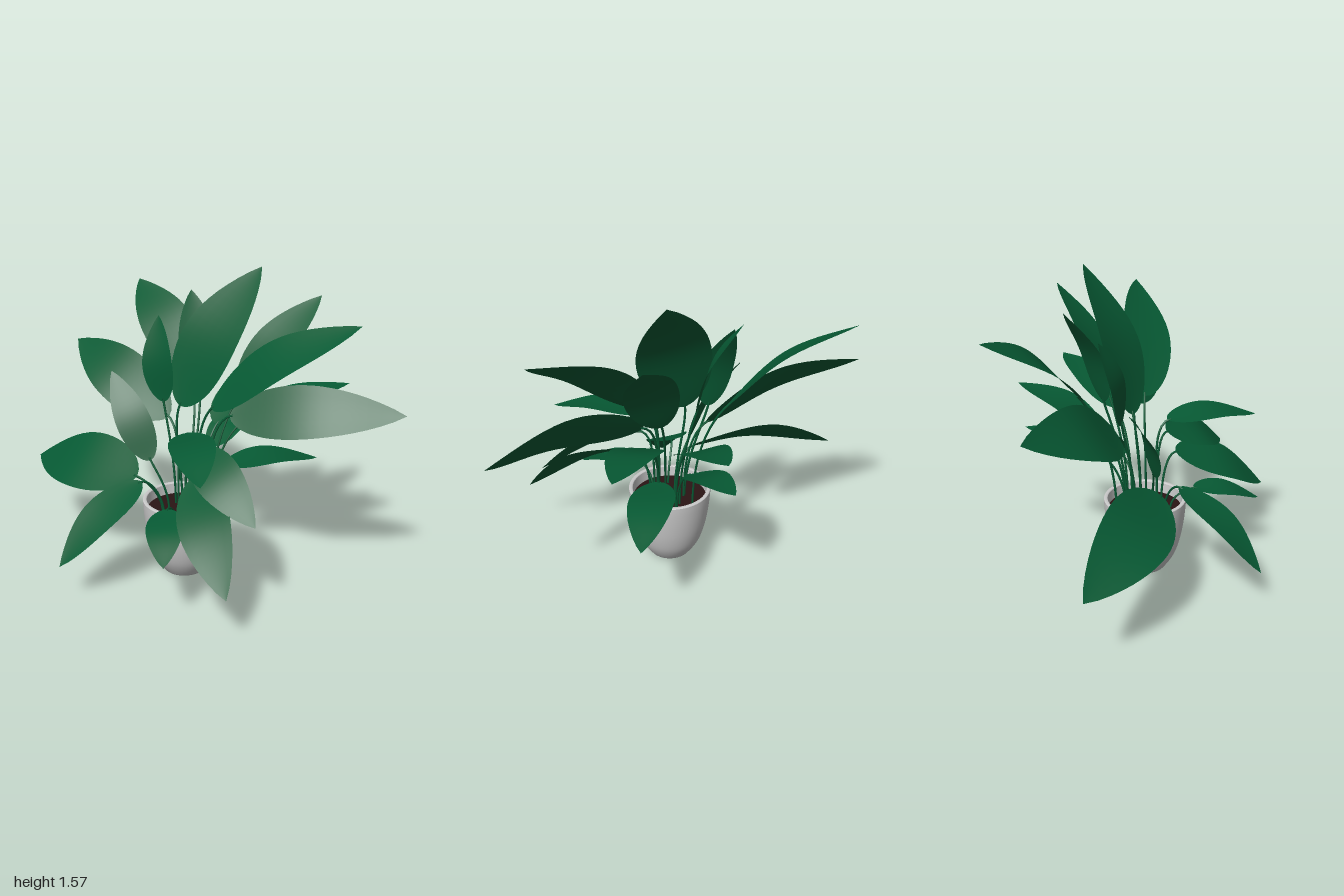
import * as THREE from 'three';

const leafMat = new THREE.MeshStandardMaterial({ color: 0x075a34, side: THREE.DoubleSide });
const stemMat = new THREE.MeshStandardMaterial({ color: 0x075a34 });
const soilMat = new THREE.MeshStandardMaterial({ color: 0x2a1515 });
const potMat = new THREE.MeshStandardMaterial({ color: 0xcccccc });
const V = (a) => new THREE.Vector3(...a);

// Common facings; most leaves look up and forward, towards the light
const LIGHT = [0, 0.75, 0.6];
const FRONT = [0, 0.5, 0.87];
const UP = [0, 1, 0.12];

// Each leaf runs from base to tip; some have their own facing or width
const LEAVES = [
  // right-hand side, high
  { base: [0.2, 0.86, -0.12], tip: [1, 0.97, -0.43], face: FRONT, width: 0.27 },
  { base: [0.15, 0.91, -0.04], tip: [0.78, 1.37, -0.35], face: [-0.45, 0.5, 0.75] },
  // tall centre leaves
  { base: [-0.05, 0.88, -0.02], tip: [0.17, 1.565, -0.385], face: FRONT, width: 0.37 },
  { base: [0.15, 0.92, -0.25], tip: [0.36, 1.41, -0.64], face: FRONT },
  { base: [-0.05, 0.93, -0.18], tip: [-0.225, 1.41, -0.3], face: [0.75, 0.35, 0.45] },
  // left-hand side
  { base: [-0.18, 0.98, -0.25], tip: [-0.745, 1.385, -0.43], face: [0.4, 0.75, 0.45], width: 0.29 },
  { base: [-0.15, 0.79, -0.05], tip: [-0.955, 1.05, -0.13], face: [0.2, 0.55, 0.7] },
  { base: [-0.16, 0.52, 0.18], tip: [-1, 0.4, 0.155], width: 0.35 },
  { base: [-0.12, 0.6, 0.12], tip: [-0.41, 1.02, 0.11], face: [0.6, 0.3, 0.6], width: 0.18 },
  { base: [-0.17, 0.87, -0.03], tip: [-0.27, 1.3, -0.1], face: FRONT },
  // low front leaves
  { base: [-0.07, 0.54, 0.24], tip: [-0.17, 0.205, 0.705] },
  { base: [0.19, 0.61, 0.12], tip: [0.69, 0.27, 0.47] },
  { base: [0.16, 0.73, 0.08], tip: [0.65, 0.52, 0.225] },
  { base: [0.12, 0.45, 0.25], tip: [0.37, 0.335, 0.535], face: UP },
  { base: [0.12, 0.81, 0.1], tip: [0.52, 0.755, 0.455], face: UP },
  // back leaves
  { base: [0.2, 0.8, -0.22], tip: [0.52, 0.965, -0.7], face: UP },
  { base: [0.14, 0.56, -0.16], tip: [0.385, 0.53, -0.64], face: UP },
  { base: [0.02, 0.74, -0.23], tip: [0, 0.945, -0.7], face: UP, width: 0.24 },
  { base: [0, 0.61, -0.22], tip: [-0.07, 0.73, -0.63], face: UP },
];

// Midrib: a shallow arch that bulges towards the side the leaf faces
function makeRib({ base, tip, face = LIGHT }) {
  const a = V(base), c = V(tip);
  const axis = c.clone().sub(a);
  const bulge = V(face).projectOnPlane(axis.clone().normalize()).setLength(axis.length() * 0.075);
  return new THREE.CatmullRomCurve3([a, a.clone().lerp(c, 0.5).add(bulge), c]);
}

// Blade: rounded base, pointed tip and slight cupping across the midrib
function makeBlade(rib, { face = LIGHT, width = 0.08 + 0.26 * rib.getLength() }) {
  const rows = 20, cols = 6, pos = [], index = [];
  const outline = (s) => Math.pow(s, 0.6) * Math.pow(1 - s, 0.9);
  const peak = outline(0.4);
  for (let i = 0; i <= rows; i++) {
    // rows crowd towards the rounded base
    const s = Math.pow(i / rows, 1.4);
    const p = rib.getPoint(s), tan = rib.getTangent(s);
    const side = V(face).cross(tan).normalize();
    const up = tan.clone().cross(side);
    const half = (outline(s) / peak) * width / 2;
    for (let j = 0; j <= cols; j++) {
      const u = (j / cols) * 2 - 1;
      const q = p.clone().addScaledVector(side, u * half).addScaledVector(up, u * u * half * 0.05);
      pos.push(q.x, q.y, q.z);
    }
  }
  for (let i = 0; i < rows; i++) {
    for (let j = 0; j < cols; j++) {
      const a = i * (cols + 1) + j, c = a + cols + 1;
      index.push(a, a + 1, c, a + 1, c + 1, c);
    }
  }
  const geo = new THREE.BufferGeometry();
  geo.setAttribute('position', new THREE.Float32BufferAttribute(pos, 3));
  geo.setIndex(index);
  geo.computeVertexNormals();
  const mesh = new THREE.Mesh(geo, leafMat);
  mesh.name = 'leafBlade';
  return mesh;
}

// Stem: rises steeply from the soil and bends into the blade
function makeStem(rib) {
  const base = rib.getPoint(0), into = rib.getTangent(0);
  const root = new THREE.Vector3(0.02 + base.x * 0.45, 0.33, 0.015 + base.z * 0.5);
  const len = base.distanceTo(root);
  const curve = new THREE.CubicBezierCurve3(
    root,
    root.clone().add(new THREE.Vector3(0, len * 0.45, 0)),
    base.clone().addScaledVector(into, -len * 0.2),
    base.clone().addScaledVector(into, 0.02),
  );
  const mesh = new THREE.Mesh(new THREE.TubeGeometry(curve, 16, 0.006, 6), stemMat);
  mesh.name = 'leafStem';
  return mesh;
}

// Pot: rounded bowl with a thin rim, an open inside and soil
function makePot() {
  const pot = new THREE.Group();
  pot.name = 'pot';
  pot.position.set(0.02, 0, 0.017);
  const v2 = (x, y) => new THREE.Vector2(x, y);
  const wall = new THREE.SplineCurve([
    v2(0.108, 0), v2(0.14, 0.045), v2(0.168, 0.1), v2(0.191, 0.18),
    v2(0.206, 0.27), v2(0.214, 0.35), v2(0.216, 0.395),
  ]).getPoints(20);
  const addLathe = (name, pts) => {
    const mesh = new THREE.Mesh(new THREE.LatheGeometry(pts, 48), potMat);
    mesh.name = name;
    pot.add(mesh);
  };
  addLathe('potWall', [v2(0, 0), ...wall]);
  addLathe('potRim', [v2(0.216, 0.395), v2(0.213, 0.4), v2(0.199, 0.4), v2(0.196, 0.395)]);
  addLathe('potInside', [v2(0.196, 0.395), v2(0.19, 0.3)]);
  const soil = new THREE.Mesh(new THREE.CylinderGeometry(0.193, 0.19, 0.03, 48), soilMat);
  soil.name = 'soil';
  soil.position.y = 0.325;
  pot.add(soil);
  return pot;
}

export function createModel() {
  const model = new THREE.Group();
  model.name = 'pottedPlant';
  model.add(makePot());
  LEAVES.forEach((spec, i) => {
    const rib = makeRib(spec);
    const leaf = new THREE.Group();
    leaf.name = `leaf${i + 1}`;
    leaf.add(makeBlade(rib, spec), makeStem(rib));
    model.add(leaf);
  });
  return model;
}
